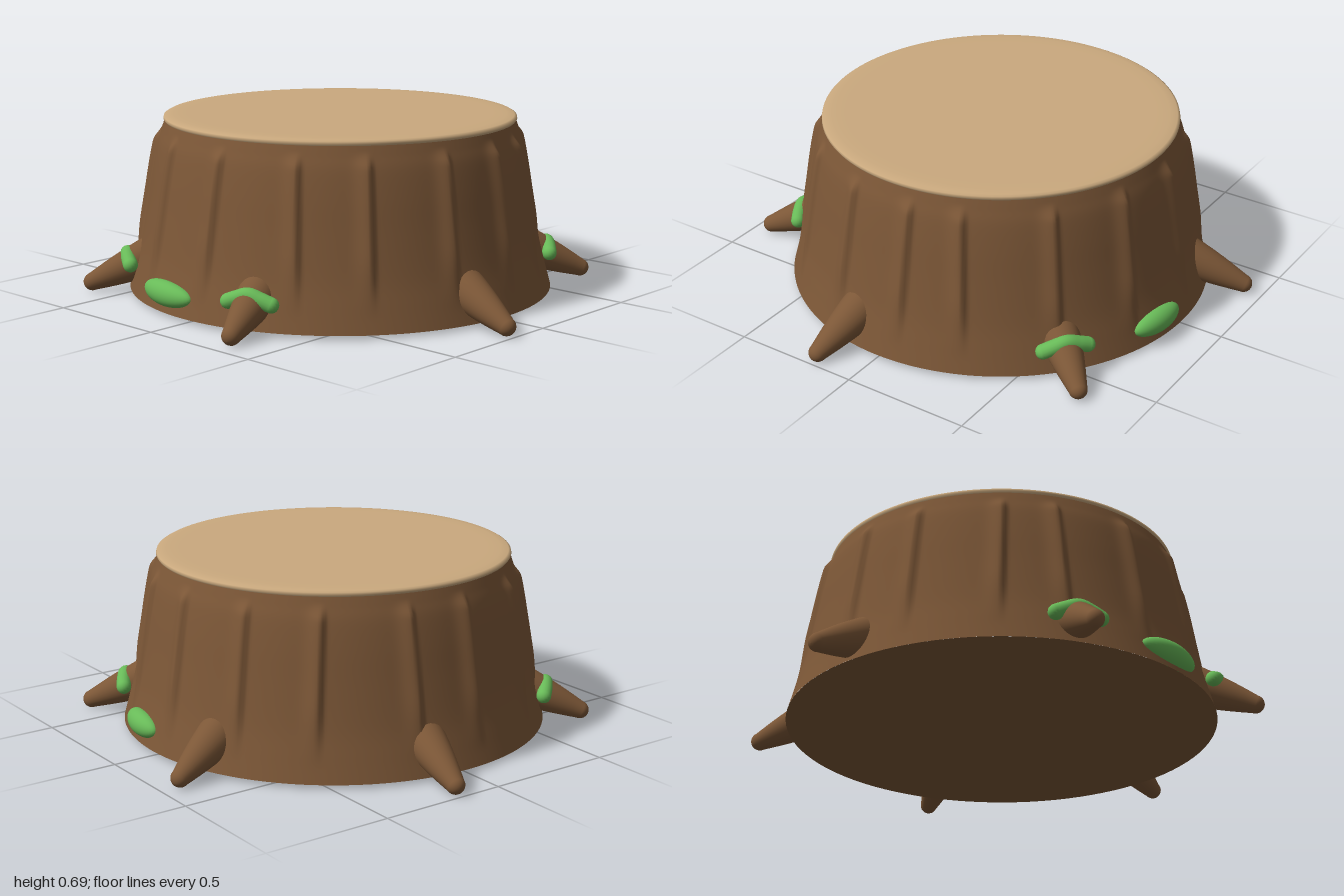
import * as THREE from 'three';

const bark = new THREE.MeshStandardMaterial({ name: 'bark brown', color: 0x7c5737 });
const wood = new THREE.MeshStandardMaterial({ name: 'cut wood tan', color: 0xcaa97e });
const moss = new THREE.MeshStandardMaterial({ name: 'moss green', color: 0x68ba58 });

const DEG = Math.PI / 180;
const rootAngles = [10, 70, 130, 190, 250, 310];
const ridgeAngles = [15, 39, 59, 85, 108, 132, 149, 174, 193, 220, 242, 265, 288, 311, 337, 354];

// Point at a radius r, height y and sideways offset t around the trunk; angle 0 is +x, 90 is +z
function around(deg, r, y, t = 0) {
  const c = Math.cos(deg * DEG), s = Math.sin(deg * DEG);
  return new THREE.Vector3(c * r - s * t, y, s * r + c * t);
}

function add(parent, name, geometry, material) {
  const mesh = new THREE.Mesh(geometry, material);
  mesh.name = name;
  parent.add(mesh);
  return mesh;
}

// Tapered trunk wall with raised bark ridges that fade out at both ends
function trunkGeometry() {
  const key = [[0.833, 0.015], [0.81, 0.1], [0.785, 0.2], [0.757, 0.35], [0.735, 0.48],
    [0.715, 0.58], [0.698, 0.635], [0.686, 0.672]];
  const curve = new THREE.SplineCurve(key.map(([x, y]) => new THREE.Vector2(x, y)));
  const geo = new THREE.LatheGeometry(curve.getPoints(40), 480);
  const p = geo.attributes.position;
  for (let i = 0; i < p.count; i++) {
    const x = p.getX(i), y = p.getY(i), z = p.getZ(i);
    const deg = Math.atan2(z, x) / DEG;
    const fade = THREE.MathUtils.smoothstep(y, 0.06, 0.3) * (1 - THREE.MathUtils.smoothstep(y, 0.59, 0.65));
    let bump = 0;
    ridgeAngles.forEach((a, k) => {
      const lean = (k % 3 - 1) * 2 * (y - 0.35);
      const d = ((deg - a - lean + 540) % 360) - 180;
      // steep on one flank, soft on the other
      const w = d < 0 ? 0.9 : 3.2;
      bump += 0.02 * Math.exp(-((d / w) ** 2));
    });
    const k = 1 + (bump * fade) / Math.hypot(x, z);
    p.setXYZ(i, x * k, y, z * k);
  }
  geo.computeVertexNormals();
  return geo;
}

// Round-ended cone along +y, used for every root
function rootGeometry(length, r0, r1) {
  const pts = [new THREE.Vector2(r0, 0)];
  for (let i = 1; i <= 8; i++) {
    const t = i / 8;
    pts.push(new THREE.Vector2(r0 + (r1 - r0) * t + 0.005 * Math.sin(Math.PI * t), length * t));
  }
  for (let i = 1; i <= 8; i++) {
    const a = (i / 8) * Math.PI / 2;
    pts.push(new THREE.Vector2(Math.max(0, r1 * Math.cos(a)), length + r1 * Math.sin(a)));
  }
  return new THREE.LatheGeometry(pts, 28);
}

// Moss strip draped over a root
function mossStrip(deg) {
  const g = new THREE.Group();
  g.name = 'mossStrip';
  const pts = [[-0.085, 0.118], [-0.045, 0.134], [0, 0.148], [0.045, 0.134], [0.085, 0.118]]
    .map(([t, y]) => around(deg, 0.84 - 1.2 * t * t, y, t));
  add(g, 'mossStripBody', new THREE.TubeGeometry(new THREE.CatmullRomCurve3(pts), 24, 0.029, 16), moss);
  for (const end of [pts[0], pts[4]]) {
    add(g, 'mossStripEnd', new THREE.SphereGeometry(0.029, 16, 12), moss).position.copy(end);
  }
  return g;
}

// Moss cushion bent to follow the trunk
function mossCushion(deg, halfLength) {
  const geo = new THREE.SphereGeometry(1, 40, 24);
  const p = geo.attributes.position;
  for (let i = 0; i < p.count; i++) {
    const t = p.getX(i) * halfLength;
    const v = around(deg, 0.812 + p.getZ(i) * 0.044 - 0.5 * t * t, 0.083 + p.getY(i) * 0.048, -t);
    p.setXYZ(i, v.x, v.y, v.z);
  }
  geo.computeVertexNormals();
  return geo;
}

export function createModel() {
  const stump = new THREE.Group();
  stump.name = 'treeStump';

  add(stump, 'trunk', trunkGeometry(), bark);
  const base = add(stump, 'trunkBase', new THREE.CircleGeometry(0.833, 96), bark);
  base.rotation.x = Math.PI / 2;
  base.position.y = 0.015;

  // Cut top with a softly rounded edge
  const top = [[0.67, 0.664], [0.685, 0.668], [0.691, 0.677], [0.689, 0.686], [0.68, 0.691],
    [0.65, 0.694], [0.6, 0.695], [0, 0.695]].map(([x, y]) => new THREE.Vector2(x, y));
  add(stump, 'cutTop', new THREE.LatheGeometry(top, 128), wood);

  // Roots slope down and outwards to the ground
  for (const deg of rootAngles) {
    const from = around(deg, 0.71, 0.15), to = around(deg, 0.98, 0.036);
    const axis = to.clone().sub(from);
    const root = add(stump, 'root', rootGeometry(axis.length(), 0.084, 0.035), bark);
    root.position.copy(from);
    root.quaternion.setFromUnitVectors(new THREE.Vector3(0, 1, 0), axis.normalize());
  }

  for (const deg of [70, 130, 310]) stump.add(mossStrip(deg));
  add(stump, 'frontMossCushion', mossCushion(100, 0.152), moss);
  add(stump, 'backMossCushion', mossCushion(280, 0.125), moss);

  return stump;
}
